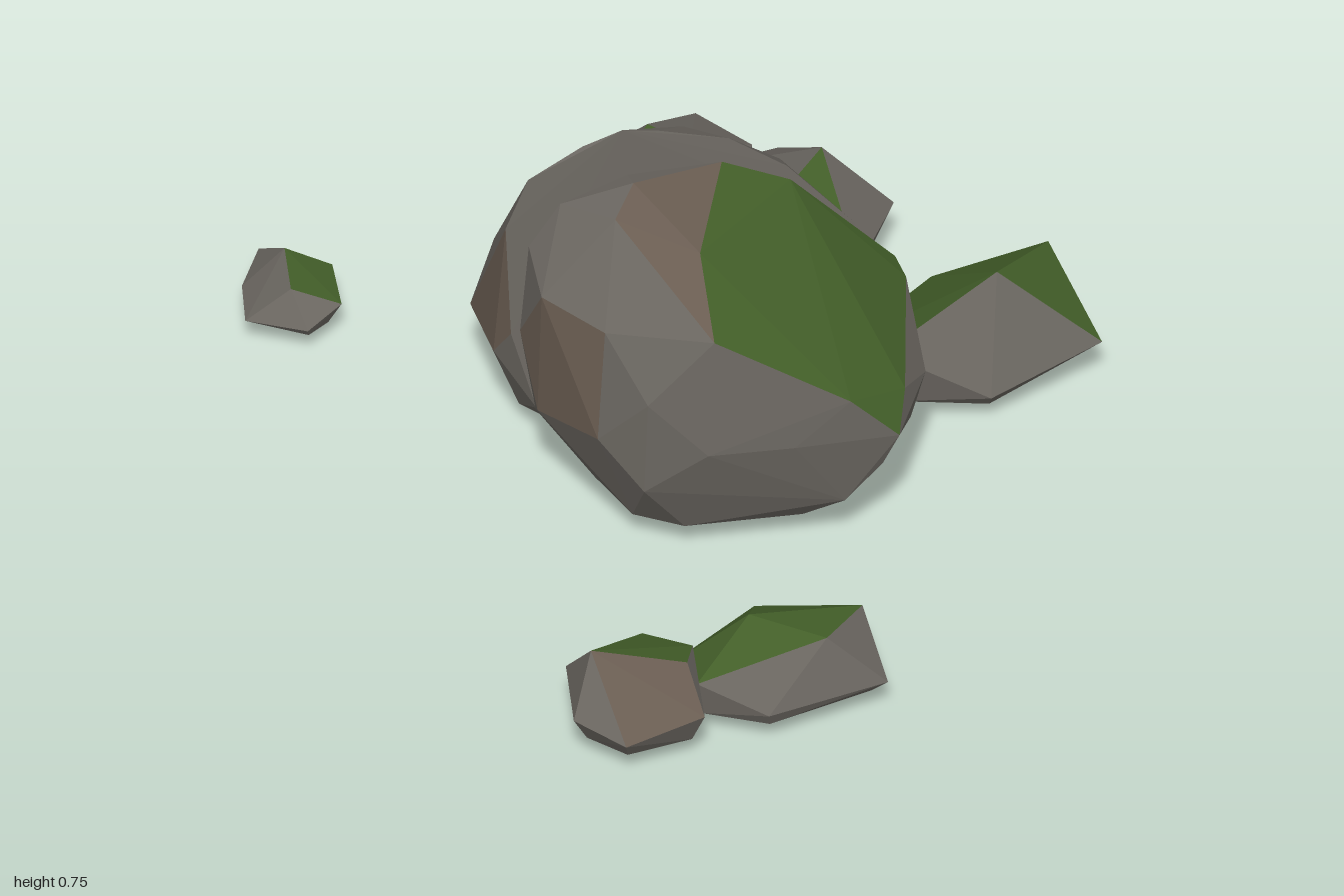
import * as THREE from 'three';
import { ConvexGeometry } from 'three/addons/geometries/ConvexGeometry.js';

const mat = (color) => new THREE.MeshStandardMaterial({ color, flatShading: true, roughness: 1 });
const stone = mat(0x69655f), earth = mat(0x695c51), moss = mat(0x435f29);

// A faceted rock: hull of the points, with facets sorted by the way they face.
// Each layer is [material, direction, least cosine]; the rest is plain stone.
function rock(name, points, layers) {
  const hull = new ConvexGeometry(points.map((p) => new THREE.Vector3(...p)));
  const pos = hull.attributes.position;
  const lists = new Map([[stone, []], [earth, []], [moss, []]]);
  const tri = new THREE.Triangle(), normal = new THREE.Vector3();
  for (let i = 0; i < pos.count; i += 3) {
    tri.setFromAttributeAndIndices(pos, i, i + 1, i + 2);
    tri.getNormal(normal);
    const hit = layers.find(([, dir, least]) =>
      normal.dot(new THREE.Vector3(...dir).normalize()) > least);
    const list = lists.get(hit ? hit[0] : stone);
    for (const v of [tri.a, tri.b, tri.c]) list.push(v.x, v.y, v.z);
  }
  const group = new THREE.Group();
  group.name = name;
  const labels = new Map([[stone, 'Stone'], [earth, 'Earth'], [moss, 'Moss']]);
  for (const [material, list] of lists) {
    if (!list.length) continue;
    const geometry = new THREE.BufferGeometry();
    geometry.setAttribute('position', new THREE.Float32BufferAttribute(list, 3));
    geometry.computeVertexNormals();
    const mesh = new THREE.Mesh(geometry, material);
    mesh.name = name + labels.get(material);
    group.add(mesh);
  }
  return group;
}

// The flat split face: an outline in [z, y] laid on a leaning plane.
const splitFace = (outline, c, kz, ky) => outline.map(([z, y]) => [c - kz * z - ky * y, y, z]);

// A small rock: upper points [x, y, z] over a flat foot of [x, z] on the ground.
const smallRock = (name, upper, foot, layers) =>
  rock(name, [...upper, ...foot.map(([x, z]) => [x, 0.05, z])], layers);

export function createModel() {
  const model = new THREE.Group();
  model.name = 'splitBoulder';

  // Half of the boulder that leans away from the split
  const leanFace = splitFace([
    [-0.1, 0], [-0.25, 0.03], [-0.36, 0.07], [-0.46, 0.2], [-0.48, 0.28], [-0.45, 0.39],
    [-0.33, 0.55], [-0.22, 0.64], [-0.08, 0.69], [0.08, 0.69], [0.2, 0.64], [0.26, 0.54],
    [0.28, 0.3], [0.25, 0.12], [0.18, 0.05], [0.05, 0.01],
  ], -0.05, 0.35, 0.21);
  model.add(rock('leaningHalf', [
    ...leanFace,
    [-0.19, 0.715, 0], [-0.26, 0.63, 0.04], [-0.2, 0.64, -0.17], [-0.1, 0.53, -0.35],
    [-0.3, 0.54, 0.18], [-0.46, 0.35, -0.05], [-0.42, 0.37, 0.16],
    [-0.54, 0.22, 0.08], [-0.53, 0.2, -0.17], [-0.48, 0.22, -0.28], [-0.4, 0.2, -0.4],
    [-0.12, 0.22, -0.48], [-0.45, 0.2, 0.2], [-0.27, 0.22, 0.28],
    [-0.51, 0.12, 0.05], [-0.4, 0.05, 0], [-0.38, 0.06, -0.25], [-0.2, 0.05, -0.38],
    [-0.4, 0.07, 0.16], [-0.26, 0.06, 0.22],
  ], [[earth, [-0.3, 0.6, -0.75], 0.96], [earth, [-0.2, 0.3, 0.9], 0.95]]));

  // The other half, with its mossy slope
  const uprightFace = splitFace([
    [0.31, 0.6], [0.34, 0.4], [0.32, 0.2], [0.25, 0.11], [0.1, 0.06], [-0.15, 0.06],
    [-0.3, 0.2], [-0.39, 0.36], [-0.36, 0.46], [-0.22, 0.645], [-0.08, 0.71], [0.1, 0.73],
    [0.24, 0.69],
  ], 0.065, 0.38, 0.1);
  model.add(rock('uprightHalf', [
    ...uprightFace,
    [0, 0.745, 0.12], [0.04, 0.71, 0.2], [0.2, 0.67, 0.1], [0.02, 0.71, -0.1], [0.1, 0.655, -0.22],
    [0.2, 0.42, -0.42], [0.25, 0.4, -0.41], [0.43, 0.3, -0.32], [0.5, 0.35, -0.21],
    [0.52, 0.4, -0.05], [0.35, 0.56, 0.18],
    [0, 0.56, 0.365], [0.17, 0.55, 0.33], [0.19, 0.3, 0.365], [-0.02, 0.25, 0.36],
    [0.29, 0.42, 0.31], [0.29, 0.2, 0.32], [0.3, 0.07, 0.22], [0.06, 0.08, 0.27],
    [0.2, 0.07, 0.28], [0.38, 0.3, 0.22], [0.47, 0.3, 0.06],
    [0.57, 0.3, -0.14], [0.54, 0.22, -0.12], [0.5, 0.13, -0.05], [0.42, 0.07, 0],
    [0.37, 0.06, -0.15], [0.2, 0.06, -0.2], [0.43, 0.2, -0.28], [0.27, 0.15, -0.33],
  ], [[moss, [0.6, 0.74, -0.31], 0.93], [earth, [0, 0.1, 1], 0.96], [earth, [0.3, 0.93, 0.2], 0.93]]));

  // Loose rocks around the boulder
  model.add(smallRock('frontPebble', [
    [-1, 0.08, 0.33], [-0.84, 0.1, 0.26], [-0.72, 0.1, 0.33], [-0.72, 0.07, 0.42],
    [-0.83, 0.07, 0.5], [-0.93, 0.07, 0.43], [-0.9, 0.145, 0.34], [-0.79, 0.135, 0.41],
  ], [[-0.94, 0.34], [-0.84, 0.3], [-0.74, 0.35], [-0.73, 0.41], [-0.83, 0.47], [-0.91, 0.42]],
  [[moss, [0.45, 0.85, -0.4], 0.88]]));

  model.add(smallRock('backSmallRock', [
    [-0.79, 0.12, -0.48], [-0.74, 0.14, -0.63], [-0.58, 0.14, -0.655], [-0.5, 0.12, -0.55],
    [-0.56, 0.09, -0.32], [-0.7, 0.1, -0.34], [-0.7, 0.21, -0.47], [-0.58, 0.22, -0.49],
  ], [[-0.75, -0.48], [-0.72, -0.59], [-0.58, -0.63], [-0.52, -0.54], [-0.57, -0.34], [-0.69, -0.36]],
  [[moss, [0.05, 0.85, 0.5], 0.94]]));

  model.add(smallRock('backWideRock', [
    [-0.62, 0.1, -0.58], [-0.54, 0.14, -0.69], [-0.26, 0.12, -0.78], [-0.1, 0.15, -0.56],
    [-0.2, 0.08, -0.45], [-0.45, 0.09, -0.35], [-0.39, 0.23, -0.69], [-0.31, 0.2, -0.47],
  ], [[-0.57, -0.57], [-0.5, -0.66], [-0.27, -0.74], [-0.14, -0.56], [-0.22, -0.46], [-0.43, -0.38]],
  [[moss, [0.3, 0.93, 0.15], 0.94], [earth, [-0.2, 0.8, -0.5], 0.85]]));

  model.add(smallRock('backMossyRock', [
    [-0.02, 0.11, -0.69], [0.16, 0.23, -0.86], [0.38, 0.11, -0.83], [0.36, 0.08, -0.55],
    [0.21, 0.19, -0.38], [0.03, 0.09, -0.42], [0.24, 0.29, -0.66],
  ], [[0, -0.68], [0.17, -0.85], [0.31, -0.77], [0.34, -0.56], [0.21, -0.41], [0.05, -0.43]],
  [[moss, [0, 1, 0], 0.6]]));

  model.add(smallRock('frontMossyRock', [
    [0.65, 0.11, 0.31], [0.85, 0.17, 0.18], [1, 0.08, 0.23], [0.94, 0.08, 0.5],
    [0.81, 0.13, 0.59], [0.67, 0.08, 0.56], [0.92, 0.195, 0.33], [0.77, 0.21, 0.42],
  ], [[0.67, 0.33], [0.85, 0.19], [0.97, 0.25], [0.93, 0.49], [0.81, 0.58], [0.68, 0.54]],
  [[moss, [-0.1, 1, 0], 0.7]]));

  model.add(smallRock('frontSmallRock', [
    [0.57, 0.11, 0.75], [0.6, 0.13, 0.57], [0.72, 0.15, 0.53], [0.9, 0.12, 0.64],
    [0.85, 0.09, 0.81], [0.73, 0.11, 0.855], [0.68, 0.225, 0.77], [0.79, 0.18, 0.6],
  ], [[0.59, 0.74], [0.62, 0.6], [0.72, 0.56], [0.87, 0.65], [0.83, 0.79], [0.73, 0.82]],
  [[moss, [-0.15, 0.9, -0.4], 0.85], [earth, [0.5, 0.85, 0.1], 0.9]]));

  return model;
}
